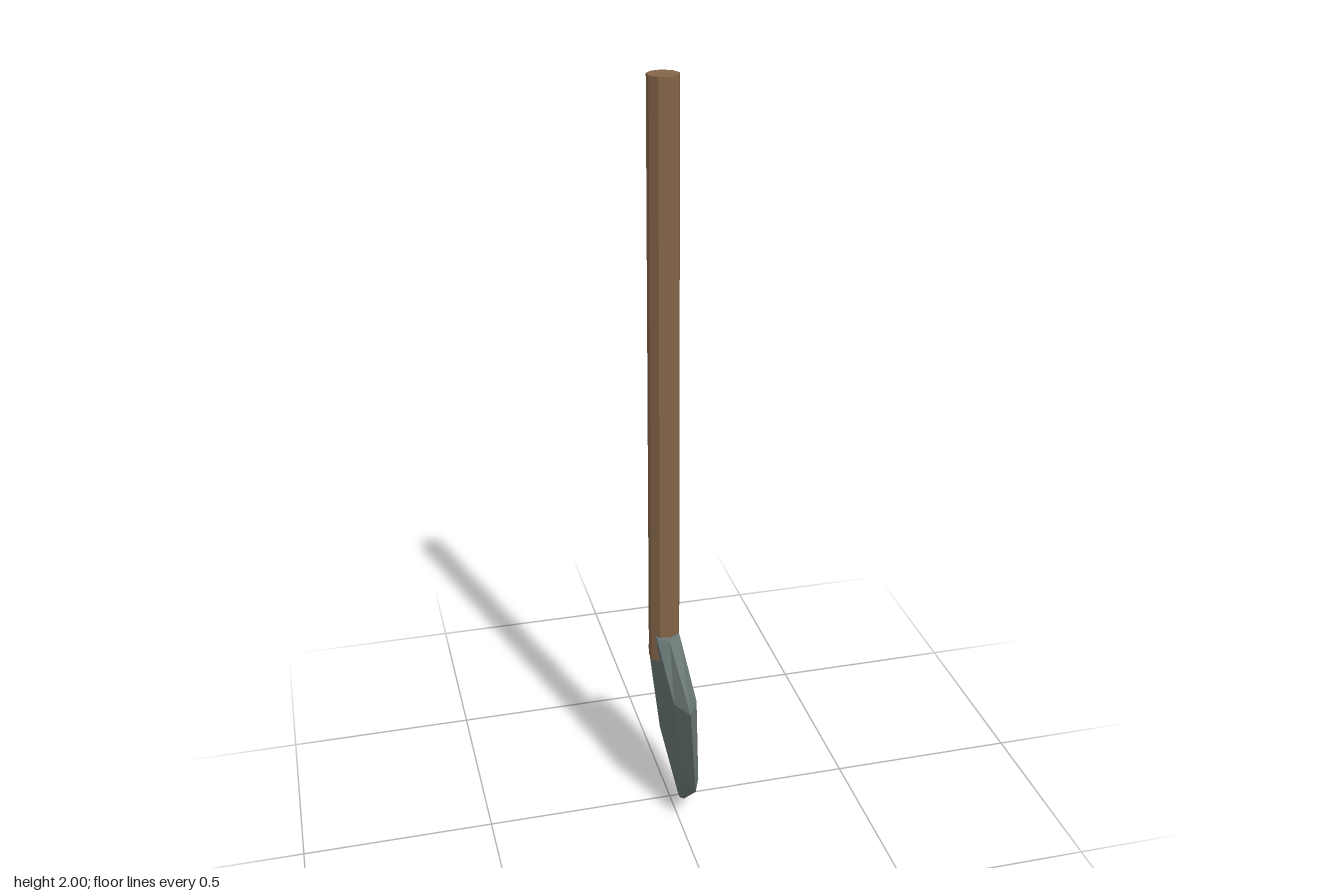
import * as THREE from 'three';

const wood = new THREE.MeshStandardMaterial({ color: 0x846548, flatShading: true });
wood.name = 'brown wood';
const metal = new THREE.MeshStandardMaterial({ color: 0x6a7876, flatShading: true });
metal.name = 'grey metal';

// Blade sections from tip to shoulder:
// y, edge x, edge half width, inner half width, front x, front centre x, back x, back centre x
const SECTIONS = [
  [0.0, 0.035, 0.022, 0.014, 0.044, 0.045, 0.026, 0.025],
  [0.145, 0.025, 0.182, 0.13, 0.046, 0.055, 0.004, 0.0],
  [0.405, 0.005, 0.2, 0.142, 0.036, 0.045, -0.024, -0.03],
  [0.545, -0.015, 0.06, 0.035, 0.018, 0.02, -0.044, -0.045],
];

function bladeGeometry() {
  const pos = [];
  const index = [];
  const n = 8;
  for (const [y, ex, ew, iw, fx, fc, bx, bc] of SECTIONS) {
    pos.push(ex, y, ew, fx, y, iw, fc, y, 0, fx, y, -iw);
    pos.push(ex, y, -ew, bx, y, -iw, bc, y, 0, bx, y, iw);
  }
  // skin between neighbouring sections
  for (let j = 0; j < SECTIONS.length - 1; j++) {
    for (let i = 0; i < n; i++) {
      const a = j * n + i;
      const b = j * n + ((i + 1) % n);
      index.push(a, b, b + n, a, b + n, a + n);
    }
  }
  // end caps
  const top = (SECTIONS.length - 1) * n;
  for (let i = 1; i < n - 1; i++) {
    index.push(0, i + 1, i);
    index.push(top, top + i, top + i + 1);
  }
  const g = new THREE.BufferGeometry();
  g.setAttribute('position', new THREE.Float32BufferAttribute(pos, 3));
  g.setIndex(index);
  const flat = g.toNonIndexed();
  flat.computeVertexNormals();
  return flat;
}

export function createModel() {
  const group = new THREE.Group();
  group.name = 'spade';

  // nine-sided shaft, its foot sunk into the blade's shoulder
  const shaftGeometry = new THREE.CylinderGeometry(0.039, 0.041, 1.53, 9, 1, false, Math.PI / 2);
  const shaft = new THREE.Mesh(shaftGeometry, wood);
  shaft.name = 'shaft';
  shaft.position.set(-0.015, 0.47 + 1.53 / 2, 0);
  group.add(shaft);

  const blade = new THREE.Mesh(bladeGeometry(), metal);
  blade.name = 'blade';
  group.add(blade);

  return group;
}
